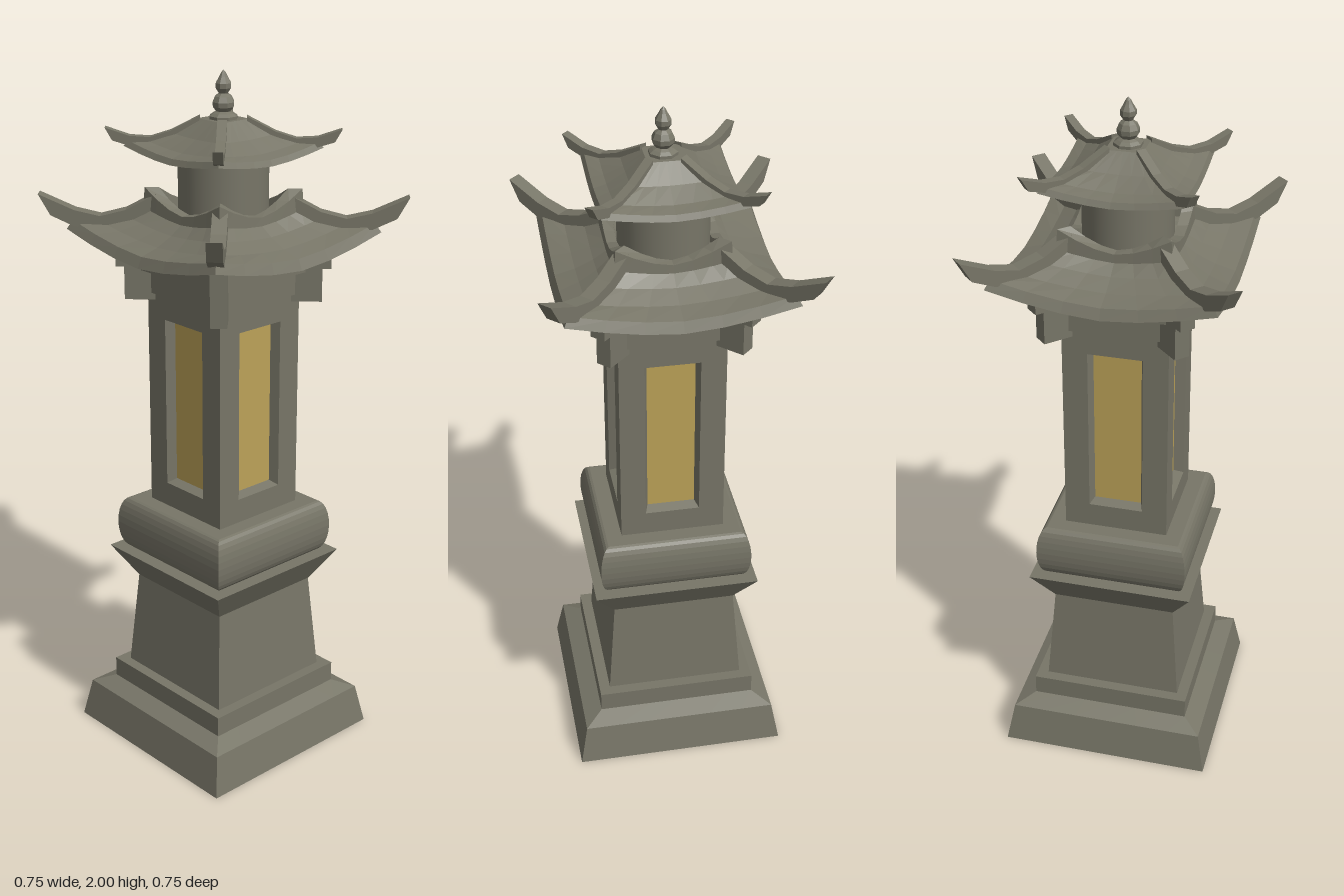
import * as THREE from 'three';

// Square ring of half width h; y runs from yc at the side centres to yk at the corners
const SEG = 6;
function ring(h, yc, yk = yc, hz = h) {
  const pts = [];
  for (let k = 0; k < 4; k++) {
    for (let i = 0; i < SEG; i++) {
      const t = (i / SEG) * 2 - 1;
      const y = yc + (yk - yc) * Math.pow(Math.abs(t), 1.6);
      const [x, z] = [[t, 1], [1, -t], [-t, -1], [-1, t]][k];
      pts.push([x * h, y, z * hz]);
    }
  }
  return pts;
}

// Flat-faced skin through rings listed from the bottom up
function loft(rings) {
  const pos = [];
  for (let j = 0; j + 1 < rings.length; j++) {
    const a = rings[j], b = rings[j + 1], n = a.length;
    for (let i = 0; i < n; i++) {
      const m = (i + 1) % n;
      pos.push(...a[i], ...a[m], ...b[m], ...a[i], ...b[m], ...b[i]);
    }
  }
  const g = new THREE.BufferGeometry();
  g.setAttribute('position', new THREE.Float32BufferAttribute(pos, 3));
  g.computeVertexNormals();
  return g;
}

export function createModel() {
  const model = new THREE.Group();
  const stone = new THREE.MeshStandardMaterial({ color: 0x777567, side: THREE.DoubleSide });
  stone.name = 'stone';
  const amber = new THREE.MeshStandardMaterial({ color: 0xbca258 });
  amber.name = 'amberGlass';

  const add = (name, geo, mat = stone, parent = model) => {
    const m = new THREE.Mesh(geo, mat);
    m.name = name;
    parent.add(m);
    return m;
  };
  const skin = (name, rows) => add(name, loft(rows.map((r) => ring(...r))));

  // Profile (distance along the diagonal, height) extruded and repeated at the four corners;
  // x values are given as front-on distances
  const corners = (name, pts, width) => {
    const shape = new THREE.Shape(pts.map(([x, y]) => new THREE.Vector2(x * Math.SQRT2, y)));
    const geo = new THREE.ExtrudeGeometry(shape, { depth: width, bevelEnabled: false });
    geo.translate(0, 0, -width / 2);
    for (let k = 0; k < 4; k++) {
      add(name, geo).rotation.y = Math.PI / 4 + (k * Math.PI) / 2;
    }
  };

  // Stepped hollow base and tapered pedestal
  skin('base', [[0.31, 0], [0.288, 0.118], [0.235, 0.14], [0.235, 0.2], [0.2, 0.2]]);
  skin('pedestal', [[0.203, 0.2], [0.18, 0.49]]);
  skin('cornice', [[0.18, 0.49], [0.24, 0.588], [0.19, 0.588]]);

  // Rounded cushion
  const cushion = [];
  for (let i = 0; i <= 12; i++) {
    const a = (i / 12 - 0.5) * Math.PI;
    cushion.push([0.195 + 0.027 * Math.cos(a), 0.667 + 0.079 * Math.sin(a)]);
  }
  skin('cushion', [[0.001, 0.588], ...cushion, [0.001, 0.746]]);

  // Lantern chamber: four walls with a recessed window each
  const wallShape = new THREE.Shape();
  wallShape.moveTo(-0.15, 0.745).lineTo(0.15, 0.745).lineTo(0.15, 1.4).lineTo(-0.15, 1.4);
  const hole = new THREE.Path();
  hole.moveTo(-0.078, 0.817).lineTo(-0.078, 1.315).lineTo(0.078, 1.315).lineTo(0.078, 0.817);
  wallShape.holes.push(hole);
  const wallGeo = new THREE.ShapeGeometry(wallShape);
  const revealGeo = loft([ring(0.068, -0.03, -0.03, 0.239), ring(0.078, 0, 0, 0.249)]);
  revealGeo.rotateX(Math.PI / 2);
  const paneGeo = new THREE.PlaneGeometry(0.137, 0.479);
  for (let k = 0; k < 4; k++) {
    const side = new THREE.Group();
    side.name = 'chamberSide';
    side.rotation.y = (k * Math.PI) / 2;
    add('wall', wallGeo, stone, side).position.z = 0.15;
    add('windowReveal', revealGeo, stone, side).position.set(0, 1.066, 0.15);
    add('windowPane', paneGeo, amber, side).position.set(0, 1.066, 0.121);
    model.add(side);
  }

  // Beams under the eaves and stepped corner brackets
  skin('eaveBeams', [[0.15, 1.385], [0.158, 1.385], [0.158, 1.45], [0.178, 1.45],
    [0.178, 1.51], [0.2, 1.51], [0.2, 1.545], [0.1, 1.545]]);
  corners('cornerBracket', [[0.11, 1.365], [0.195, 1.365], [0.195, 1.46], [0.212, 1.46],
    [0.212, 1.53], [0.24, 1.53], [0.24, 1.56], [0.11, 1.56]], 0.045);

  // Lower roof with a raised collar and upswept ridges
  skin('lowerRoof', [[0.15, 1.54, 1.545], [0.308, 1.51, 1.56], [0.295, 1.54, 1.585],
    [0.24, 1.555, 1.582], [0.19, 1.578, 1.598], [0.15, 1.605, 1.63], [0.1, 1.62]]);
  skin('roofCollar', [[0.157, 1.58, 1.61], [0.153, 1.625, 1.68], [0.125, 1.625, 1.68],
    [0.12, 1.6, 1.62]]);
  corners('lowerRidge', [[0.13, 1.6], [0.23, 1.565], [0.29, 1.572], [0.337, 1.603],
    [0.36, 1.662], [0.29, 1.618], [0.24, 1.602], [0.19, 1.62], [0.13, 1.665]], 0.042);

  // Round neck between the roofs
  const neck = add('neck', new THREE.CylinderGeometry(0.125, 0.125, 0.19, 32));
  neck.position.y = 1.675;

  // Upper roof and its ridges
  skin('upperRoof', [[0.08, 1.78], [0.192, 1.77, 1.793], [0.184, 1.786, 1.808],
    [0.15, 1.796, 1.81], [0.1, 1.826, 1.83], [0.05, 1.87], [0.001, 1.87]]);
  corners('upperRidge', [[0.045, 1.85], [0.12, 1.802], [0.18, 1.796], [0.213, 1.81],
    [0.227, 1.845], [0.18, 1.823], [0.14, 1.82], [0.1, 1.838], [0.045, 1.878]], 0.026);

  // Eight-sided finial
  const profile = [[0.04, 1.86], [0.04, 1.878], [0.03, 1.885], [0.02, 1.89], [0.03, 1.902],
    [0.031, 1.915], [0.024, 1.93], [0.013, 1.938], [0.022, 1.952], [0.022, 1.965],
    [0.012, 1.982], [0.007, 1.992], [0, 2]];
  const finial = new THREE.LatheGeometry(profile.map(([x, y]) => new THREE.Vector2(x, y)), 8,
    Math.PI / 8).toNonIndexed();
  finial.computeVertexNormals();
  add('finial', finial);

  return model;
}
